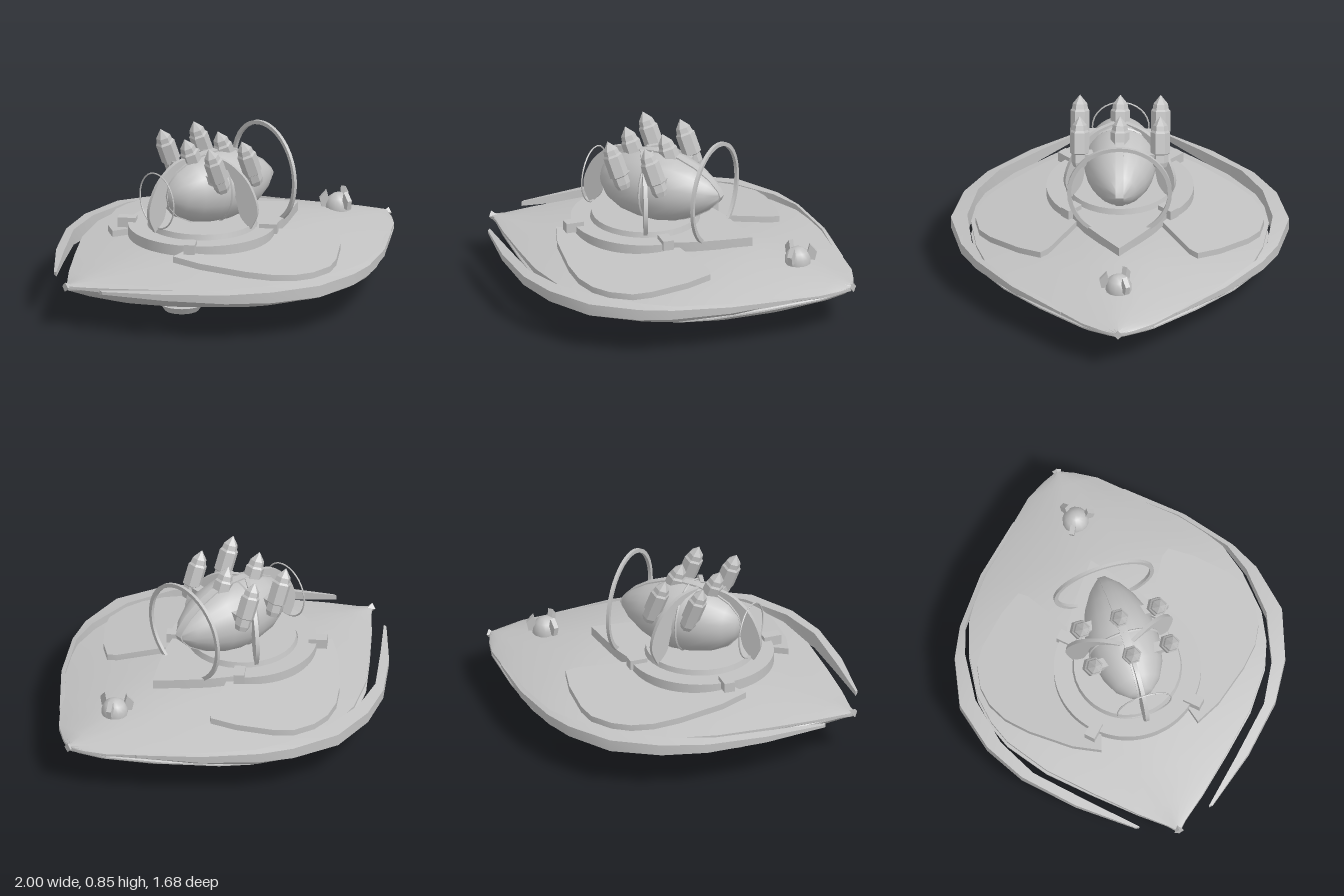
import * as THREE from 'three';
import { toCreasedNormals } from 'three/addons/utils/BufferGeometryUtils.js';

const grey = new THREE.MeshStandardMaterial({ color: 0xc2c2c2, side: THREE.DoubleSide });
grey.name = 'hullGrey';

const v2 = (pts) => pts.map(([x, y]) => new THREE.Vector2(x, y));

function add(parent, name, geo, crease = 0.5) {
  const mesh = new THREE.Mesh(toCreasedNormals(geo, crease), grey);
  mesh.name = name;
  parent.add(mesh);
  return mesh;
}

// Skins a row of closed cross-sections running along +x and caps both ends
function loft(rings) {
  const n = rings[0].length, idx = [];
  rings.slice(1).forEach((_, i) => {
    for (let j = 0; j < n; j++) {
      const a = i * n + j, b = i * n + (j + 1) % n;
      idx.push(a, b, b + n, a, b + n, a + n);
    }
  });
  const last = (rings.length - 1) * n;
  for (let j = 1; j < n - 1; j++) idx.push(0, j + 1, j, last, last + j, last + j + 1);
  const geo = new THREE.BufferGeometry();
  geo.setAttribute('position', new THREE.Float32BufferAttribute(rings.flat(2), 3));
  geo.setIndex(idx);
  geo.computeVertexNormals();
  return geo;
}

// Flat plate drawn in (x, z), its top at y = 0
function plate(shape, thick) {
  return new THREE.ExtrudeGeometry(shape, { depth: thick, bevelEnabled: false, curveSegments: 32 }).rotateX(Math.PI / 2);
}

export function createModel() {
  const model = new THREE.Group();
  model.name = 'hoverShip';

  // Hull stations: x, half width, deck height, keel height
  const stations = [
    [-0.99, 0.012, 0.228, 0.205], [-0.95, 0.05, 0.233, 0.188], [-0.85, 0.17, 0.245, 0.145], [-0.68, 0.35, 0.267, 0.085],
    [-0.5, 0.53, 0.29, 0.05], [-0.3, 0.67, 0.31, 0.024], [-0.18, 0.715, 0.322, 0.012], [-0.03, 0.738, 0.335, 0],
    [0.2, 0.71, 0.345, 0.015], [0.36, 0.66, 0.345, 0.03], [0.5, 0.57, 0.334, 0.045], [0.7, 0.39, 0.3, 0.085],
    [0.9, 0.18, 0.26, 0.16], [0.96, 0.08, 0.245, 0.188], [0.99, 0.012, 0.235, 0.21],
  ];
  const hullRings = stations.map(([x, w, top, bot]) => {
    const edge = 0.222 + 0.03 * Math.min(1, w / 0.7), low = 0.214 - 0.042 * Math.min(1, w / 0.7);
    const half = [
      [0.3, top - (top - edge) * 0.2], [0.6, top - (top - edge) * 0.5], [0.85, top - (top - edge) * 0.8], [1, edge],
      [1, edge - 0.012], [0.965, edge - 0.016], [0.965, low + 0.014], [1, low + 0.008], [1, low],
      [0.8, bot + (low - bot) * 0.65], [0.5, bot + (low - bot) * 0.3], [0.25, bot + (low - bot) * 0.13],
    ].map(([t, y]) => [x, y, t * w]);
    const other = half.slice().reverse().map(([a, y, z]) => [a, y, -z]);
    return [[x, top, 0], ...half, [x, bot, 0], ...other];
  });
  add(model, 'hull', loft(hullRings), 0.45);

  // Small flared tips at both ends
  for (const s of [-1, 1]) {
    const tip = add(model, 'hullTip', new THREE.ConeGeometry(0.024, 0.05, 4).rotateZ(s * Math.PI / 2));
    tip.position.set(s * 0.975, 0.222, 0);
  }

  // Detached crescent side rails: x, inner z, outer z, half height
  const railStations = [
    [-0.92, 0.18, 0.2, 0.012], [-0.72, 0.385, 0.45, 0.028], [-0.5, 0.6, 0.66, 0.04], [-0.3, 0.705, 0.775, 0.048],
    [-0.05, 0.757, 0.838, 0.052], [0.2, 0.732, 0.785, 0.048], [0.35, 0.68, 0.71, 0.042], [0.58, 0.5, 0.53, 0.03], [0.8, 0.25, 0.29, 0.012],
  ];
  for (const s of [-1, 1]) {
    const rings = railStations.map(([x, zi, zo, h]) => {
      const ring = [[x, 0.225 + h, zi], [x, 0.225 + h * 0.75, zo], [x, 0.225 - h * 0.4, zo], [x, 0.225 - h, zi]];
      return s > 0 ? ring : ring.reverse().map(([a, y, z]) => [a, y, -z]);
    });
    add(model, 'sideRail', loft(rings), 0.6);
  }

  // Sloping armour plates on either side of the deck
  const wingPoints = [
    [-0.52, 0.25], [-0.45, 0.38], [-0.3, 0.56], [-0.2, 0.65], [-0.1, 0.7], [0, 0.715], [0.12, 0.695], [0.2, 0.64],
    [0.33, 0.5], [0.4, 0.39], [0.37, 0.35], [0.12, 0.2], [-0.35, 0.2],
  ];
  for (const s of [-1, 1]) {
    const geo = plate(new THREE.Shape(v2(wingPoints.map(([x, z]) => [x, z * s]))), 0.032);
    const p = geo.attributes.position;
    for (let i = 0; i < p.count; i++) p.setY(i, p.getY(i) + 0.388 - 0.135 * Math.abs(p.getZ(i)));
    add(model, 'deckPlate', geo);
  }

  // Landing pads
  for (const [x, y, z] of [[0.52, 0.062, 0], [-0.45, 0.078, 0.23], [-0.45, 0.078, -0.23]]) {
    const pad = add(model, 'landingPad', new THREE.CylinderGeometry(0.11, 0.085, 0.035, 20));
    pad.position.set(x, y, z);
  }

  // Turret base with its open collar and pointed prow
  const turret = new THREE.Group();
  turret.name = 'turret';
  model.add(turret);
  const collar = new THREE.Shape();
  collar.absarc(0, 0, 0.365, 0.85, Math.PI * 2 - 0.85, false);
  collar.absarc(0, 0, 0.27, Math.PI * 2 - 0.85, 0.85, true);
  add(turret, 'collar', plate(collar, 0.055)).position.set(-0.155, 0.388, 0);
  add(turret, 'turntable', new THREE.CylinderGeometry(0.265, 0.285, 0.08, 32)).position.set(-0.15, 0.375, 0);
  const prow = new THREE.Shape(v2([[-0.1, -0.26], [0.08, -0.25], [0.22, -0.17], [0.34, -0.08], [0.44, 0], [0.34, 0.08], [0.22, 0.17], [0.08, 0.25], [-0.1, 0.26]]));
  add(turret, 'prowPlate', plate(prow, 0.05)).position.y = 0.385;
  for (const s of [-1, 1]) for (const [x, z, turn] of [[0.08, 0.24, 0.8], [-0.42, 0.26, -0.8]]) {
    const clamp = add(turret, 'collarClamp', new THREE.BoxGeometry(0.09, 0.05, 0.055));
    clamp.position.set(x, 0.385, z * s);
    clamp.rotation.y = -turn * s;
  }

  // Pointed egg body lying along x, with a raised centre band and a seam
  const egg = [[0, -0.385], [0.06, -0.37], [0.115, -0.32], [0.155, -0.24], [0.176, -0.14], [0.18, -0.05], [0.165, 0.04], [0.13, 0.13], [0.08, 0.21], [0.03, 0.26], [0, 0.275]];
  const body = add(turret, 'eggBody', new THREE.LatheGeometry(v2(egg), 20).rotateZ(-Math.PI / 2), 0.7);
  body.position.y = 0.575;
  const outline = [...egg.map(([r, x]) => [x, r * 1.03]), ...egg.slice(1, -1).reverse().map(([r, x]) => [x, -r * 1.03])];
  const band = new THREE.ExtrudeGeometry(new THREE.Shape(v2(outline)), { depth: 0.04, bevelEnabled: false });
  add(turret, 'centreBand', band).position.set(0, 0.575, -0.02);
  const seam = add(turret, 'bodySeam', new THREE.TorusGeometry(0.178, 0.006, 4, 32).rotateY(Math.PI / 2));
  seam.position.set(-0.1, 0.575, 0);

  // Three curved fins, a third of a turn apart
  const fin = new THREE.Shape();
  fin.moveTo(0.03, 0.755);
  fin.splineThru(v2([[0.15, 0.735], [0.25, 0.66], [0.305, 0.56], [0.315, 0.48], [0.28, 0.4]]));
  fin.splineThru(v2([[0.225, 0.46], [0.2, 0.55], [0.14, 0.66], [0.03, 0.755]]));
  for (const angle of [Math.PI, Math.PI / 3, -Math.PI / 3]) {
    const geo = new THREE.ExtrudeGeometry(fin, { depth: 0.02, bevelEnabled: false, curveSegments: 4 }).translate(0, 0, -0.01);
    const mesh = add(turret, 'curvedFin', geo);
    mesh.position.x = -0.17;
    mesh.rotation.y = -angle;
  }

  // Six hexagonal rocket pods, leaning back
  const rocket = v2([[0, -0.125], [0.03, -0.125], [0.04, -0.1], [0.04, -0.06], [0.048, -0.055], [0.048, 0.05], [0.04, 0.06], [0.036, 0.085], [0, 0.13]]);
  for (const x of [-0.215, -0.01]) for (const z of [-0.2, 0, 0.2]) {
    const pod = add(turret, 'rocketPod', new THREE.LatheGeometry(rocket, 6), 0.3);
    pod.position.set(x, 0.728, z);
    pod.rotation.z = 0.37;
    if (z) {
      const strut = add(turret, 'podStrut', new THREE.BoxGeometry(0.05, 0.04, 0.12));
      strut.position.set(x + 0.02, 0.66, z * 0.75);
    }
  }

  // Large front hoop and thin rear hoop
  const hoop = v2([[0.24, -0.008], [0.26, -0.008], [0.26, 0.008], [0.24, 0.008], [0.24, -0.008]]);
  add(model, 'frontHoop', new THREE.LatheGeometry(hoop, 40).rotateZ(Math.PI / 2)).position.set(0.232, 0.583, 0);
  add(model, 'rearHoop', new THREE.TorusGeometry(0.14, 0.004, 5, 32).rotateY(Math.PI / 2), 1).position.set(-0.432, 0.56, 0);

  // Small bow turret with three prongs
  const bow = new THREE.Group();
  bow.name = 'bowTurret';
  bow.position.set(0.69, 0.3, 0);
  model.add(bow);
  add(bow, 'bowDome', new THREE.LatheGeometry(v2([[0.065, 0], [0.065, 0.03], [0.05, 0.06], [0.025, 0.078], [0, 0.082]]), 14), 0.7);
  const prong = new THREE.Shape(v2([[0.04, 0.02], [0.085, 0.015], [0.095, 0.06], [0.06, 0.1], [0.05, 0.06]]));
  for (let i = 0; i < 3; i++) {
    const geo = new THREE.ExtrudeGeometry(prong, { depth: 0.025, bevelEnabled: false }).translate(0, 0, -0.0125);
    add(bow, 'bowProng', geo).rotation.y = -Math.PI / 2 + i * Math.PI * 2 / 3;
  }
  return model;
}
